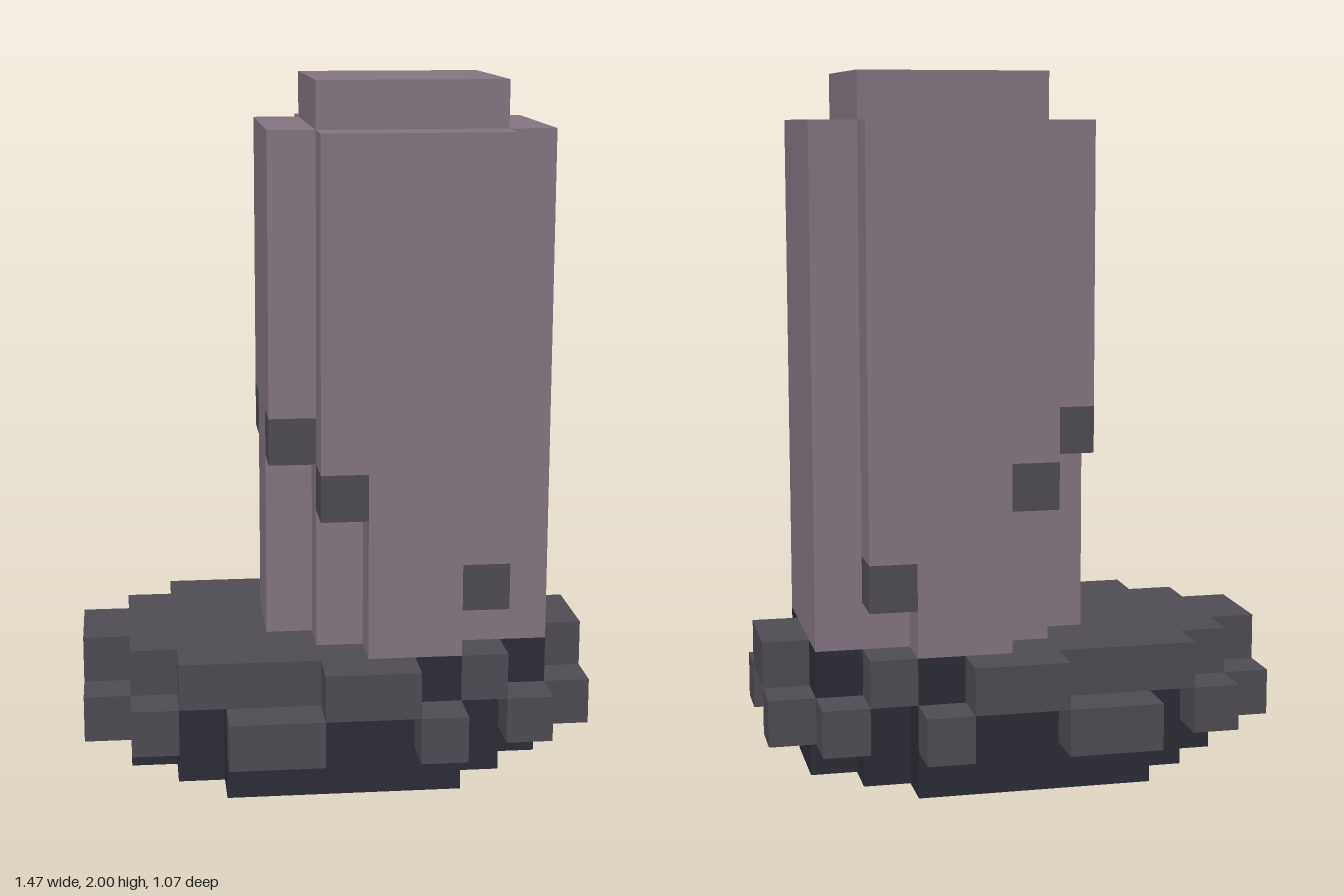
import * as THREE from 'three';

const U = 2 / 15; // size of one block

const stone = new THREE.MeshStandardMaterial({ color: 0x857783 });
stone.name = 'mauve stone';
const slate = new THREE.MeshStandardMaterial({ color: 0x504d54 });
slate.name = 'slate grey';
const coal = new THREE.MeshStandardMaterial({ color: 0x2d2f37 });
coal.name = 'dark coal';

// Block coordinates: x 0..11, y 0..15, rows counted outward from the middle (z = 0).
const px = (x) => (x - 5.5) * U;

// Stepped slab, mirrored front to back; each row gives [xStart, xEnd].
function slab(name, material, rows, y0, y1) {
  const right = [], left = [];
  rows.forEach(([a, b], i) => {
    right.push([px(b), i * U], [px(b), (i + 1) * U]);
    left.push([px(a), i * U], [px(a), (i + 1) * U]);
  });
  const flip = (pts) => pts.map(([x, z]) => [x, -z]);
  const outline = [
    ...right, ...left.slice().reverse(),
    ...flip(left).slice(1), ...flip(right).reverse().slice(0, -1),
  ].map(([x, z]) => new THREE.Vector2(x, z));
  const geometry = new THREE.ExtrudeGeometry(new THREE.Shape(outline), {
    depth: (y1 - y0) * U, bevelEnabled: false,
  });
  geometry.rotateX(-Math.PI / 2);
  const mesh = new THREE.Mesh(geometry, material);
  mesh.position.y = y0 * U;
  mesh.name = name;
  return mesh;
}

// A run of blocks in one row, placed at the front and at the back.
function blockPair(name, material, x0, x1, y, row) {
  const pair = new THREE.Group();
  pair.name = name;
  for (const side of [1, -1]) {
    const mesh = new THREE.Mesh(new THREE.BoxGeometry((x1 - x0) * U, U, U), material);
    mesh.position.set(px((x0 + x1) / 2), (y + 0.5) * U, side * (row + 0.5) * U);
    mesh.name = name + (side > 0 ? 'Front' : 'Back');
    pair.add(mesh);
  }
  return pair;
}

export function createModel() {
  const model = new THREE.Group();
  model.name = 'stonePillar';

  // Dark foot, rising through the first rim layer
  model.add(slab('foot', coal, [[1, 10], [2, 9], [3, 8]], 0, 2));

  // Lower rim: separate blocks around the foot
  const rim = new THREE.Group();
  rim.name = 'lowerRim';
  for (const [x0, x1, row] of [
    [3, 5, 3], [7, 8, 3], [1, 2, 2], [9, 10, 2], [0, 2, 1], [9, 11, 1],
  ]) rim.add(blockPair('rimBlock', slate, x0, x1, 1, row));
  model.add(rim);

  // Upper plate, with dark blocks showing in its notches
  model.add(slab('plateMiddle', slate, [[0, 11], [1, 9]], 2, 3));
  model.add(blockPair('plateEdgeRight', slate, 2, 7, 2, 2));
  model.add(blockPair('plateEdgeLeft', slate, 8, 9, 2, 2));
  model.add(blockPair('plateLip', slate, 5, 7, 2, 3));
  model.add(blockPair('notchBlock', coal, 7, 8, 2, 2));
  model.add(blockPair('notchSideBlock', coal, 9, 10, 2, 1));

  // Column, with its lower corners worn away
  const column = new THREE.Group();
  column.name = 'column';
  column.add(
    slab('columnBase', stone, [[4, 10], [5, 10], [6, 8]], 3, 5),
    slab('columnLower', stone, [[4, 10], [5, 10], [6, 9]], 5, 7),
    slab('columnMiddle', stone, [[4, 10], [5, 10], [5, 9]], 7, 8),
    slab('columnUpper', stone, [[4, 10], [4, 10], [5, 9]], 8, 14),
    slab('columnCap', stone, [[5, 9], [5, 9]], 14, 15),
  );
  model.add(column);

  // Grey broken ends above the worn corners
  for (const [x, y, row] of [[8, 4, 2], [5, 6, 2], [4, 7, 1]]) {
    model.add(blockPair('brokenEnd', slate, x, x + 1, y, row));
  }
  return model;
}
